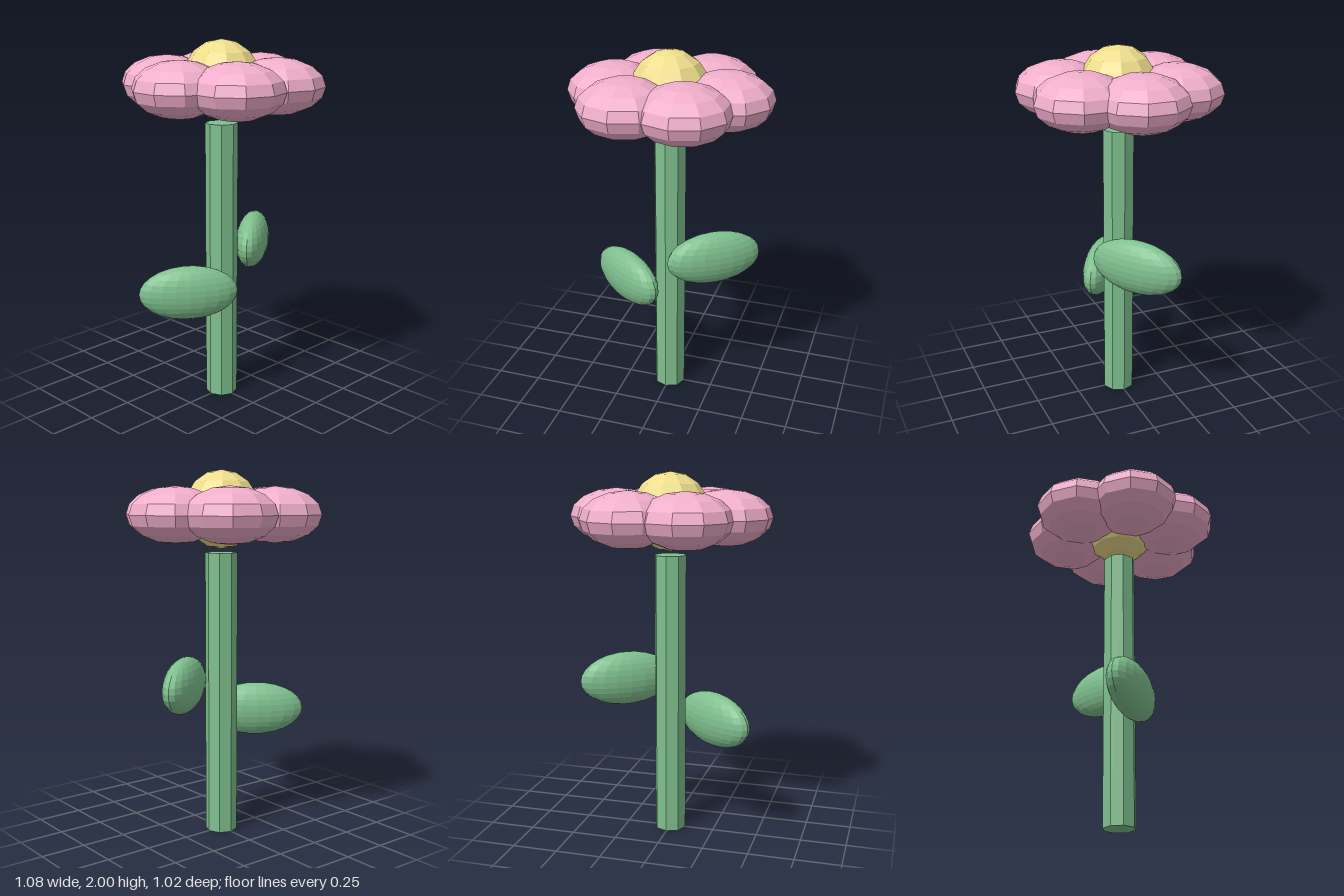
import * as THREE from 'three';

const material = (color) => new THREE.MeshStandardMaterial({ color, flatShading: true });

// Faceted ellipsoid with its poles along y
function ellipsoid(name, mat, [rx, ry, rz], around, rings) {
  const geometry = new THREE.SphereGeometry(1, around, rings);
  geometry.rotateY(Math.PI / 2);
  geometry.scale(rx, ry, rz);
  const mesh = new THREE.Mesh(geometry, mat);
  mesh.name = name;
  return mesh;
}

export function createModel() {
  const model = new THREE.Group();
  model.name = 'flower';
  const green = material(0x7fc08e);
  const pink = material(0xf0aecb);
  const yellow = material(0xeedd8c);

  // Octagonal stem
  const stemHeight = 1.56;
  const stem = new THREE.Mesh(new THREE.CylinderGeometry(0.088, 0.088, stemHeight, 8), green);
  stem.name = 'stem';
  stem.position.y = stemHeight / 2;
  model.add(stem);

  // Two flattened leaves, turned opposite ways
  for (const [side, y, name] of [[1, 0.86, 'leftLeaf'], [-1, 0.66, 'rightLeaf']]) {
    const leaf = ellipsoid(name, green, [0.27, 0.15, 0.09], 20, 14);
    leaf.position.set(side * 0.252, y, 0);
    leaf.rotation.y = side * 0.627;
    model.add(leaf);
  }

  // Round flower centre
  const centre = ellipsoid('flowerCentre', yellow, [0.21, 0.21, 0.21], 10, 8);
  centre.position.y = 1.79;
  model.add(centre);

  // Ring of six petals, all facing the same way
  const petals = new THREE.Group();
  petals.name = 'petals';
  for (let i = 0; i < 6; i++) {
    const angle = (i * Math.PI) / 3;
    const petal = ellipsoid('petal', pink, [0.25, 0.148, 0.25], 10, 8);
    petal.position.set(0.302 * Math.cos(angle), 1.764, 0.302 * Math.sin(angle));
    petals.add(petal);
  }
  model.add(petals);

  return model;
}
